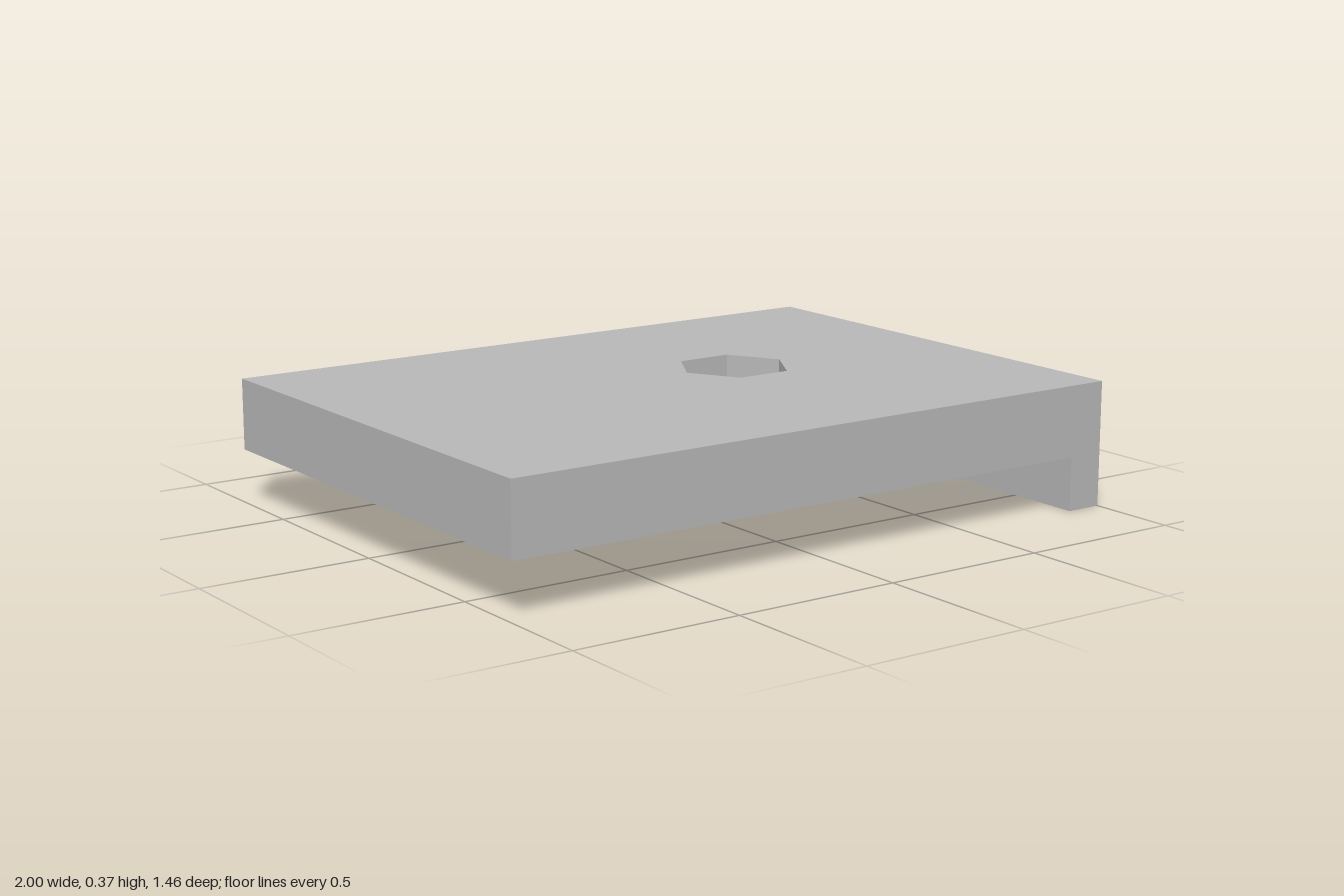
import * as THREE from 'three';
import { toCreasedNormals } from 'three/addons/utils/BufferGeometryUtils.js';

const HALF_X = 1, HALF_Z = 0.73;
const BOTTOM = 0.16, TOP = 0.37;
const BOLT = { x: 0.265, z: -0.055, r: 0.09 };

export function createModel() {
  const group = new THREE.Group();
  const grey = new THREE.MeshStandardMaterial({ color: 0xb8b8b8 });
  grey.name = 'grey';

  const add = (name, geometry, x = 0, y = 0, z = 0) => {
    const mesh = new THREE.Mesh(geometry, grey);
    mesh.name = name;
    mesh.position.set(x, y, z);
    group.add(mesh);
  };

  const roundHole = (x, z, r) => new THREE.Path().absarc(x, z, r, 0, Math.PI * 2, true);

  // Horizontal slab between two heights, pierced by holes (shape y is world z)
  const slab = (name, y0, y1, holes) => {
    const shape = new THREE.Shape([
      new THREE.Vector2(-HALF_X, -HALF_Z), new THREE.Vector2(HALF_X, -HALF_Z),
      new THREE.Vector2(HALF_X, HALF_Z), new THREE.Vector2(-HALF_X, HALF_Z),
    ]);
    shape.holes.push(...holes);
    const geometry = new THREE.ExtrudeGeometry(shape, { depth: y1 - y0, bevelEnabled: false, curveSegments: 48 });
    geometry.rotateX(Math.PI / 2);
    add(name, toCreasedNormals(geometry, 0.5), 0, y1, 0);
  };

  // Plate in layers: round recess below, bolt hole through, hexagonal nut pocket above
  const boltHole = () => roundHole(BOLT.x, BOLT.z, BOLT.r);
  const nutPocket = new THREE.Path(Array.from({ length: 6 }, (_, i) => {
    const a = -i * Math.PI / 3;
    return new THREE.Vector2(BOLT.x + 0.17 * Math.cos(a), BOLT.z + 0.17 * Math.sin(a));
  }));
  slab('plateRecessLayer', BOTTOM, 0.2, [boltHole(), roundHole(-0.67, -0.4, 0.192)]);
  slab('plateMiddleLayer', 0.2, 0.23, [boltHole()]);
  slab('plateNutLayer', 0.23, TOP, [nutPocket]);

  // Lip hanging from the left edge
  add('lip', new THREE.BoxGeometry(0.11, BOTTOM, HALF_Z * 2), HALF_X - 0.055, BOTTOM / 2, 0);

  // Triangular grip ribs under the plate; the middle one is cut by the bolt hole
  const rib = (x0, x1, z) => {
    const shape = new THREE.Shape([
      new THREE.Vector2(-0.032, 0), new THREE.Vector2(0, -0.03), new THREE.Vector2(0.032, 0),
    ]);
    const geometry = new THREE.ExtrudeGeometry(shape, { depth: x1 - x0, bevelEnabled: false });
    geometry.rotateY(Math.PI / 2);
    add('gripRib', geometry, x0, BOTTOM, z);
  };
  const ribStart = -0.165, ribEnd = 0.69;
  for (let i = -4; i <= 4; i++) {
    const z = BOLT.z + i * 0.158;
    if (i === 0) {
      rib(ribStart, BOLT.x - 0.088, z);
      rib(BOLT.x + 0.088, ribEnd, z);
    } else {
      rib(ribStart, ribEnd, z);
    }
  }

  return group;
}
